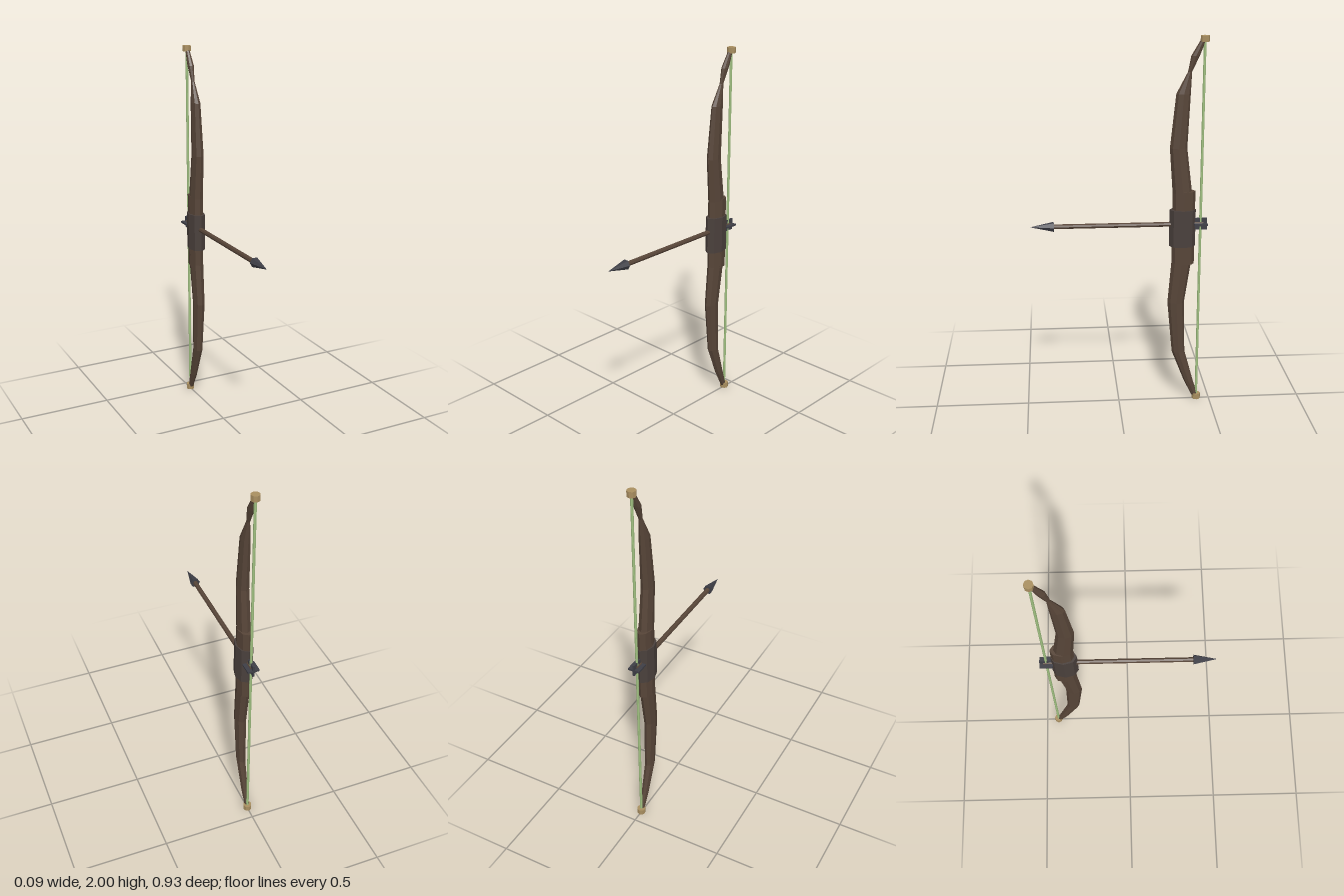
import * as THREE from 'three';

const paint = (color) => new THREE.MeshStandardMaterial({ color, flatShading: true });

// Loft of closed eight-sided sections: [y, zFront, zBack, halfWidth]
function loft(sections, sides = 8) {
  const pos = [], index = [];
  for (const [y, zf, zb, w] of sections) {
    for (let i = 0; i < sides; i++) {
      const a = (i / sides) * Math.PI * 2;
      pos.push(Math.cos(a) * w, y, (zf + zb) / 2 + Math.sin(a) * (zf - zb) / 2);
    }
  }
  const rings = sections.length;
  for (let r = 0; r < rings - 1; r++) {
    for (let i = 0; i < sides; i++) {
      const j = (i + 1) % sides, b = r * sides, t = b + sides;
      index.push(b + i, t + i, b + j, b + j, t + i, t + j);
    }
  }
  // End caps
  const top = (rings - 1) * sides;
  for (let i = 1; i < sides - 1; i++) {
    index.push(0, i, i + 1, top, top + i + 1, top + i);
  }
  const indexed = new THREE.BufferGeometry();
  indexed.setAttribute('position', new THREE.Float32BufferAttribute(pos, 3));
  indexed.setIndex(index);
  const geo = indexed.toNonIndexed();
  geo.computeVertexNormals();
  return geo;
}

export function createModel() {
  const model = new THREE.Group();
  model.name = 'bowAndArrow';
  const wood = paint(0x574538), leather = paint(0x4a403c), metal = paint(0x3e3e46);
  const horn = paint(0xa98f60), cord = paint(0x9fbf80);

  const add = (parent, name, geometry, material, x = 0, y = 0, z = 0) => {
    const mesh = new THREE.Mesh(geometry, material);
    mesh.name = name;
    mesh.position.set(x, y, z);
    parent.add(mesh);
    return mesh;
  };

  // Bow stave: smooth lower limb, pinched and recurved upper limb
  add(model, 'stave', loft([
    [0.01, -0.41, -0.44, 0.012],
    [0.11, -0.36, -0.41, 0.018],
    [0.29, -0.29, -0.36, 0.024],
    [0.58, -0.262, -0.352, 0.03],
    [0.81, -0.28, -0.385, 0.034],
    [1.0, -0.28, -0.39, 0.035],
    [1.19, -0.28, -0.382, 0.034],
    [1.43, -0.262, -0.352, 0.03],
    [1.71, -0.29, -0.364, 0.023],
    [1.82, -0.347, -0.368, 0.009],
    [1.9, -0.362, -0.405, 0.017],
    [1.99, -0.415, -0.44, 0.01],
  ]), wood);

  // Wrapped handle and the wider band around it
  add(model, 'handleWrap', loft([[0.8, -0.285, -0.4, 0.036], [1.2, -0.285, -0.4, 0.036]]), wood);
  add(model, 'grip', loft([
    [0.9, -0.265, -0.404, 0.044], [1.1, -0.265, -0.404, 0.044],
  ]), leather);

  // Tip caps and string
  for (const [name, y] of [['lowerTip', 0.015], ['upperTip', 1.985]]) {
    add(model, name, new THREE.CylinderGeometry(0.023, 0.023, 0.03, 8), horn, 0, y, -0.43);
  }
  add(model, 'string', new THREE.CylinderGeometry(0.007, 0.007, 1.96, 6), cord, 0, 1, -0.43);

  // Arrow along z
  const arrow = new THREE.Group();
  arrow.name = 'arrow';
  arrow.position.y = 1.02;
  model.add(arrow);
  const shaft = add(arrow, 'shaft', new THREE.CylinderGeometry(0.013, 0.013, 0.79, 8), wood, 0, 0, -0.05);
  shaft.rotation.x = Math.PI / 2;
  const head = add(arrow, 'arrowHead', new THREE.ConeGeometry(0.027, 0.124, 6).rotateY(Math.PI / 6), metal, 0, 0, 0.402);
  head.rotation.x = Math.PI / 2;
  // Crossed vanes at the tail
  for (const angle of [0, Math.PI / 2]) {
    const vane = add(arrow, 'fletching', new THREE.BoxGeometry(0.062, 0.01, 0.07), metal, 0, 0, -0.43);
    vane.rotation.z = angle;
  }
  return model;
}
